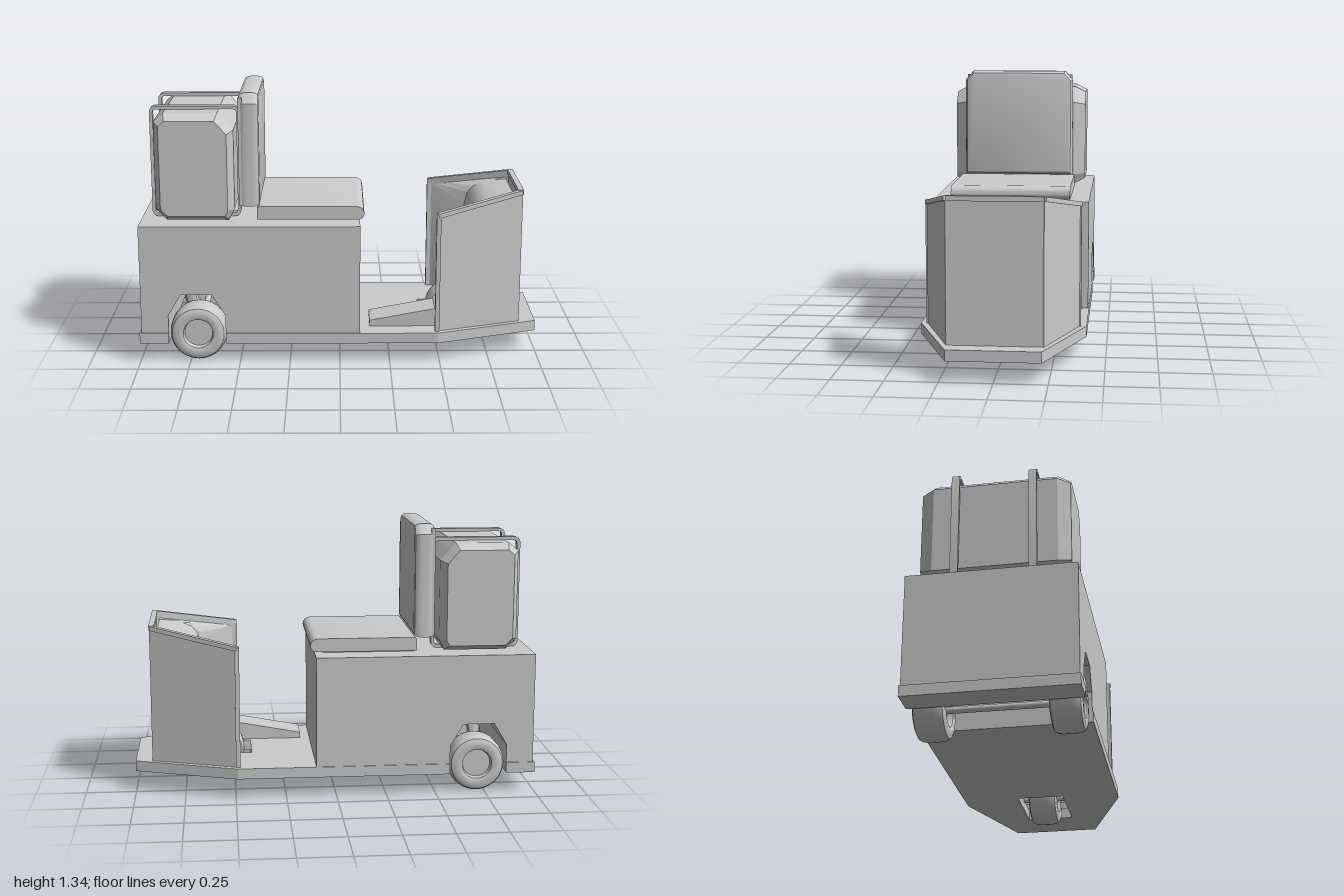
import * as THREE from 'three';
import { toCreasedNormals } from 'three/addons/utils/BufferGeometryUtils.js';

const mat = new THREE.MeshStandardMaterial({ color: 0xcccccc });
const sheetMat = new THREE.MeshStandardMaterial({ color: 0xcccccc, side: THREE.DoubleSide });

function add(parent, name, geo, x = 0, y = 0, z = 0, material = mat) {
  const m = new THREE.Mesh(geo, material);
  m.name = name;
  m.position.set(x, y, z);
  parent.add(m);
  return m;
}

const poly = pts => new THREE.Shape(pts.map(p => new THREE.Vector2(p[0], p[1])));

// rectangle with rounded corners
function roundRect(x0, y0, x1, y1, r) {
  const s = new THREE.Shape();
  s.absarc(x1 - r, y1 - r, r, 0, Math.PI / 2);
  s.absarc(x0 + r, y1 - r, r, Math.PI / 2, Math.PI);
  s.absarc(x0 + r, y0 + r, r, Math.PI, Math.PI * 1.5);
  s.absarc(x1 - r, y0 + r, r, Math.PI * 1.5, Math.PI * 2);
  return s;
}

// side profile extruded along z and centred on z = 0
function across(shape, width, bevel = null) {
  const t = bevel ? bevel.bevelThickness : 0;
  const g = new THREE.ExtrudeGeometry(shape, {
    depth: width - 2 * t, curveSegments: 6, bevelEnabled: !!bevel, ...bevel });
  return g.translate(0, 0, -(width - 2 * t) / 2);
}

// square bar between two points
function bar(parent, name, a, b, w, h) {
  const p = new THREE.Vector3(...a), q = new THREE.Vector3(...b);
  const m = add(parent, name, new THREE.BoxGeometry(w, h, p.distanceTo(q)));
  m.position.copy(p).add(q).multiplyScalar(0.5);
  m.lookAt(q);
}

// tyre with a dished hub on both sides, axis along z
function wheelGeometry(r, w) {
  const h = w / 2;
  const half = [[0, h - 0.03], [0.07, h - 0.03], [0.075, h - 0.004], [0.085, h],
    [r - 0.03, h], [r - 0.012, h - 0.008], [r - 0.003, h - 0.025], [r, h * 0.4]];
  const pts = [...half, ...half.map(([a, b]) => [a, -b]).reverse()]
    .map(p => new THREE.Vector2(p[0], p[1])).reverse();
  return toCreasedNormals(new THREE.LatheGeometry(pts, 40).rotateX(Math.PI / 2), 0.6);
}

const axleGeometry = len => new THREE.CylinderGeometry(0.016, 0.016, len, 16).rotateX(Math.PI / 2);

// inner dashboard: a rounded panel flaring out to the side walls
function liningGeometry() {
  const rows = [[0.885, 0.8], [0.82, 0.792], [0.76, 0.778], [0.715, 0.755],
    [0.685, 0.72], [0.67, 0.66], [0.67, 0.16]];
  const pos = [], idx = [];
  rows.forEach(([x, y], i) => {
    const ox = 0.49 + (x - 0.67) * 1.837;
    const oz = 0.362 - (ox - 0.49) * 0.36;
    const oy = i === rows.length - 1 ? y : 0.735 + (ox - 0.48) * 0.18;
    const hz = 0.25 - (x - 0.67) * 0.17;
    pos.push(ox, oy, oz, x, y, hz, x, y, -hz, ox, oy, -oz);
    if (i) for (let k = 0; k < 3; k++) {
      const a = (i - 1) * 4 + k, b = a + 4;
      idx.push(a, a + 1, b, a + 1, b + 1, b);
    }
  });
  const g = new THREE.BufferGeometry();
  g.setAttribute('position', new THREE.Float32BufferAttribute(pos, 3));
  g.setIndex(idx);
  return toCreasedNormals(g, 0.5);
}

export function createModel() {
  const root = new THREE.Group();
  root.name = 'utilityCart';

  // floor: tapered front deck with a wheel opening, and a rear strip
  const deck = poly([[-0.57, -0.405], [0.49, -0.405], [1, -0.22], [1, 0.22], [0.49, 0.405], [-0.57, 0.405]]);
  deck.holes.push(poly([[0.415, -0.118], [0.415, 0.118], [0.77, 0.118], [0.77, -0.118]]));
  add(root, 'floorDeck', new THREE.ExtrudeGeometry(deck, { depth: 0.053, bevelEnabled: false })
    .rotateX(Math.PI / 2), 0, 0.158, 0);
  add(root, 'rearBumper', new THREE.BoxGeometry(0.145, 0.053, 0.81), -0.9275, 0.1315, 0);

  // body with an arch cut through for the rear wheels
  add(root, 'body', across(poly([[-0.99, 0.158], [-0.855, 0.158], [-0.855, 0.25], [-0.79, 0.36],
    [-0.635, 0.36], [-0.57, 0.25], [-0.57, 0.158], [0.1, 0.158], [0.1, 0.71], [-0.99, 0.71]]), 0.8));

  // wheels and axles
  for (const s of [1, -1])
    add(root, 'rearWheel', wheelGeometry(0.142, 0.152), -0.71, 0.148, s * 0.312);
  add(root, 'rearAxle', axleGeometry(0.58), -0.71, 0.148, 0);
  add(root, 'frontWheel', wheelGeometry(0.142, 0.15), 0.592, 0.16, 0);
  add(root, 'frontAxle', axleGeometry(0.28), 0.6, 0.16, 0);

  // pedal ramp
  add(root, 'footRamp', across(poly([[0.15, 0.16], [0.48, 0.16], [0.48, 0.252], [0.15, 0.19]]), 0.165),
    0, 0, 0.22);

  // seat cushion, rounded at its front edge
  const cushion = new THREE.Shape();
  cushion.moveTo(-0.41, 0.72);
  cushion.lineTo(0.09, 0.72);
  cushion.quadraticCurveTo(0.12, 0.722, 0.122, 0.75);
  cushion.quadraticCurveTo(0.12, 0.782, 0.085, 0.787);
  cushion.lineTo(-0.4, 0.787);
  cushion.lineTo(-0.41, 0.777);
  add(root, 'seatCushion', toCreasedNormals(across(cushion, 0.61), 0.6));
  add(root, 'seatBase', new THREE.BoxGeometry(0.46, 0.014, 0.54), -0.17, 0.715, 0);

  // backrest, clipped top corners and softened front edges
  const back = poly([[-0.27, 0.805], [0.27, 0.805], [0.27, 1.29], [0.24, 1.325], [-0.24, 1.325], [-0.27, 1.29]]);
  add(root, 'backrest', toCreasedNormals(new THREE.ExtrudeGeometry(back, { depth: 0.036,
    bevelThickness: 0.033, bevelSize: 0.022, bevelSegments: 3 }).rotateY(Math.PI / 2), 0.5), -0.465, 0, 0);
  add(root, 'backrestRear', new THREE.BoxGeometry(0.02, 0.54, 0.575), -0.488, 1.055, 0);

  // tank with chamfered edges
  const tank = poly([[-0.845, 0.75], [-0.565, 0.75], [-0.55, 0.78], [-0.55, 1.16], [-0.59, 1.205],
    [-0.61, 1.225], [-0.85, 1.225], [-0.88, 1.2], [-0.88, 0.785]]);
  add(root, 'tank', across(tank, 0.715, { bevelThickness: 0.06, bevelSize: 0.03, bevelSegments: 1 }));

  // straps looping round the tank
  const strap = roundRect(-0.94, 0.712, -0.495, 1.272, 0.03);
  strap.holes.push(roundRect(-0.924, 0.728, -0.511, 1.256, 0.018));
  for (const s of [1, -1])
    add(root, 'tankStrap', toCreasedNormals(across(strap, 0.038), 0.6), 0, 0, s * 0.185);

  // front cowl: sloped side walls, nose panel and edge trim
  const cowl = new THREE.Group();
  cowl.name = 'frontCowl';
  root.add(cowl);
  const len = Math.hypot(0.43, 0.15), angle = Math.atan2(0.15, 0.43);
  const side = poly([[0, 0.158], [len, 0.158], [len, 0.83], [0, 0.75]]);
  for (const s of [1, -1]) {
    const wall = add(cowl, 'cowlSide', across(side, 0.014), 0.484, 0, s * 0.368);
    wall.rotation.y = s * angle;
    bar(cowl, 'topTrim', [0.484, 0.756, s * 0.368], [0.91, 0.838, s * 0.22], 0.028, 0.022);
    bar(cowl, 'edgeTrim', [0.487, 0.158, s * 0.367], [0.487, 0.764, s * 0.367], 0.022, 0.022);
  }
  add(cowl, 'nosePanel', new THREE.BoxGeometry(0.014, 0.672, 0.446), 0.907, 0.494, 0);
  bar(cowl, 'noseTrim', [0.906, 0.838, -0.224], [0.906, 0.838, 0.224], 0.028, 0.024);
  add(cowl, 'dashLining', liningGeometry(), 0, 0, 0, sheetMat);

  return root;
}
